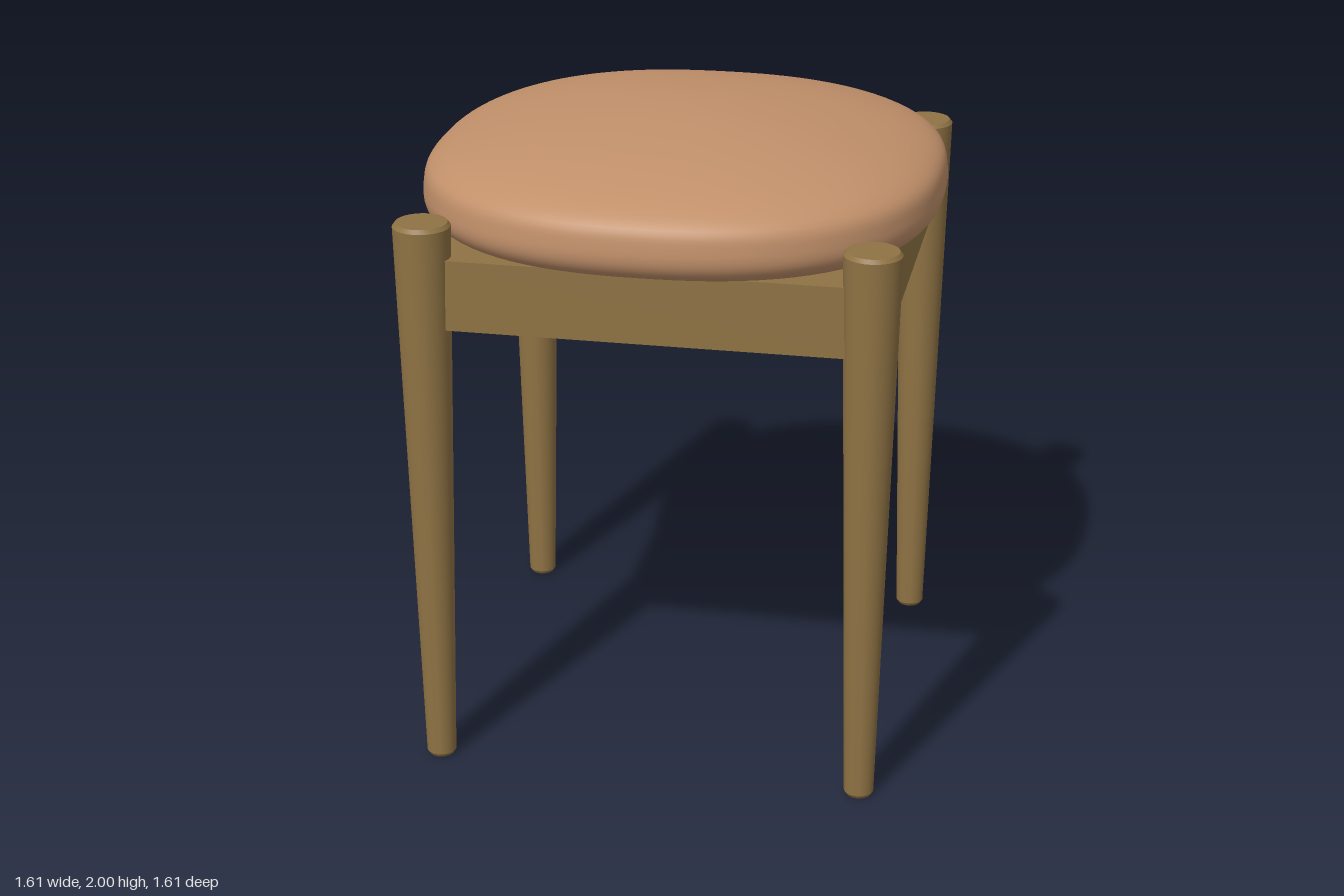
import * as THREE from 'three';
import { mergeVertices, toCreasedNormals } from 'three/addons/utils/BufferGeometryUtils.js';

const wood = new THREE.MeshStandardMaterial({ color: 0x8f7344 });
wood.name = 'wood';
const leather = new THREE.MeshStandardMaterial({ color: 0xc1906a });
leather.name = 'tan leather';

const points = (list) => list.map(([x, y]) => new THREE.Vector2(x, y));

function addMesh(parent, name, geometry, material, x = 0, y = 0, z = 0) {
  const mesh = new THREE.Mesh(geometry, material);
  mesh.name = name;
  mesh.position.set(x, y, z);
  parent.add(mesh);
  return mesh;
}

// Tapered round leg with small bevels at both ends
function legGeometry() {
  const profile = points([
    [0, 0], [0.038, 0], [0.046, 0.012], [0.087, 1.775], [0.078, 1.787], [0, 1.787],
  ]);
  return toCreasedNormals(new THREE.LatheGeometry(profile, 40), 0.5);
}

// Domed cushion: a smooth lathe whose round outline is pushed out to a superellipse
function cushionGeometry() {
  const edge = new THREE.SplineCurve(points([
    [0.7, 1.675], [0.765, 1.69], [0.8, 1.73], [0.805, 1.785], [0.785, 1.85],
    [0.7, 1.9], [0.55, 1.943], [0.38, 1.973], [0.18, 1.994], [0, 2],
  ]));
  const profile = [new THREE.Vector2(0, 1.675), ...edge.getPoints(48)];
  profile.forEach((p) => { p.x = Math.max(p.x, 0); });
  let geometry = new THREE.LatheGeometry(profile, 96);
  const pos = geometry.attributes.position;
  const power = 2.4;
  for (let i = 0; i < pos.count; i++) {
    const x = pos.getX(i), z = pos.getZ(i);
    const r = Math.hypot(x, z);
    if (r < 1e-6) continue;
    const c = Math.abs(x / r), s = Math.abs(z / r);
    const k = Math.pow(Math.pow(c, power) + Math.pow(s, power), -1 / power);
    pos.setX(i, x * k);
    pos.setZ(i, z * k);
  }
  geometry.deleteAttribute('uv');
  geometry.deleteAttribute('normal');
  geometry = mergeVertices(geometry, 1e-5);
  geometry.computeVertexNormals();
  return geometry;
}

// Square rail frame, open in the middle
function apronGeometry(half, thickness, height) {
  const square = (h) => points([[-h, -h], [h, -h], [h, h], [-h, h]]);
  const shape = new THREE.Shape(square(half));
  shape.holes.push(new THREE.Path(square(half - thickness).reverse()));
  const geometry = new THREE.ExtrudeGeometry(shape, { depth: height, bevelEnabled: false });
  return geometry.rotateX(-Math.PI / 2);
}

export function createModel() {
  const stool = new THREE.Group();
  stool.name = 'stool';

  // Four corner legs
  const leg = legGeometry();
  for (const [zName, z] of [['front', 1], ['back', -1]]) {
    for (const [xName, x] of [['Left', 1], ['Right', -1]]) {
      addMesh(stool, `${zName}${xName}Leg`, leg, wood, x * 0.672, 0, z * 0.672);
    }
  }

  // Rails and the panel recessed between them
  addMesh(stool, 'apron', apronGeometry(0.705, 0.075, 0.22), wood, 0, 1.46, 0);
  addMesh(stool, 'seatPanel', new THREE.BoxGeometry(1.26, 0.1, 1.26), wood, 0, 1.63, 0);

  // Upholstered seat
  addMesh(stool, 'cushion', cushionGeometry(), leather);

  return stool;
}
